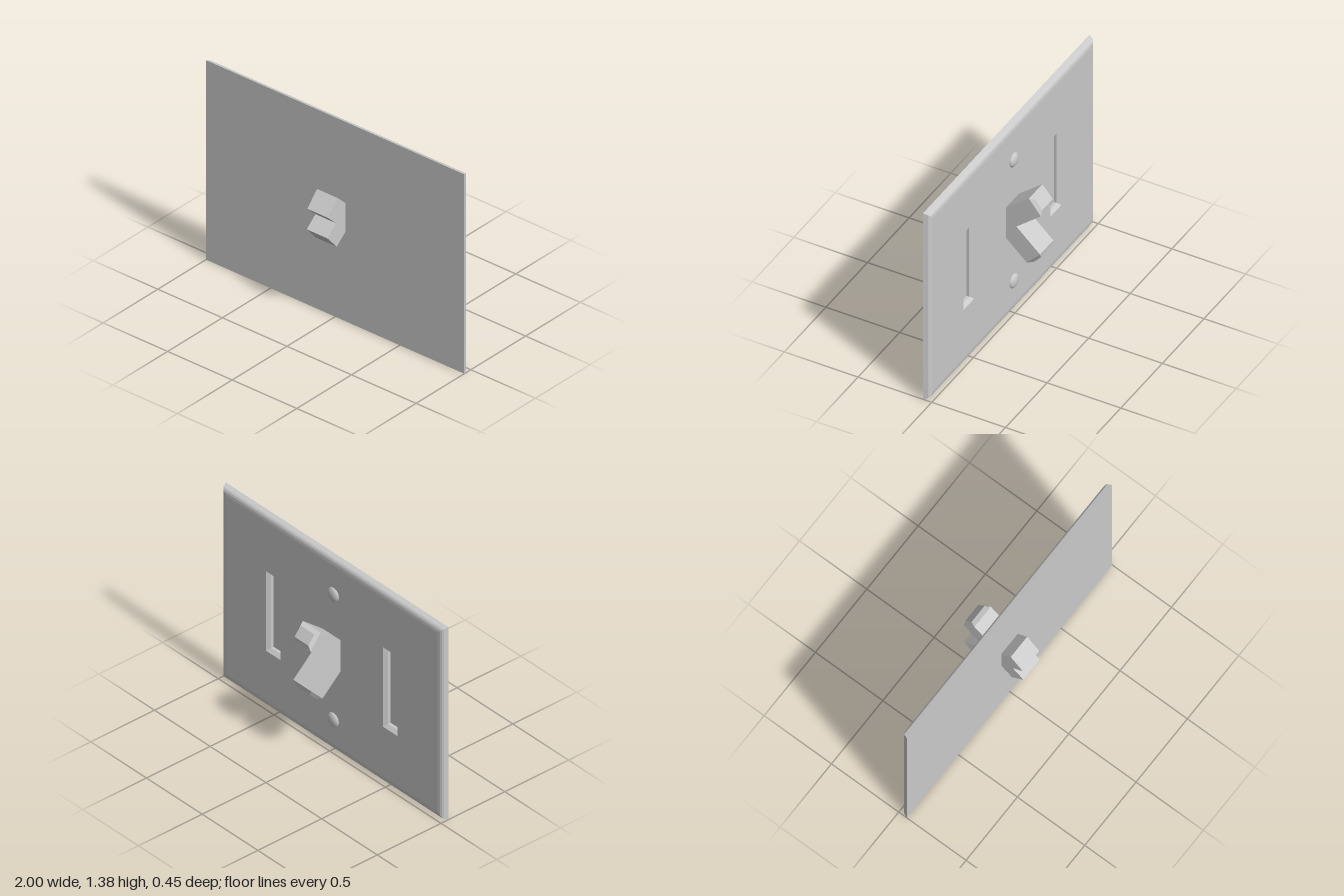
import * as THREE from 'three';

const material = new THREE.MeshStandardMaterial({ color: 0xcccccc });
const CY = 0.69;      // height of the plate's centre
const FRONT = 0.06;   // flat side of the plate
const BACK = 0.017;   // dressed side of the plate

function add(parent, geometry, name, x = 0, y = 0, z = 0) {
  const mesh = new THREE.Mesh(geometry, material);
  mesh.name = name;
  mesh.position.set(x, y, z);
  parent.add(mesh);
  return mesh;
}

// Walls through rectangular rings [halfWidth, halfHeight, z]; running
// towards -z they face outward, running towards +z they face inward.
function rectLoft(rings) {
  const corners = [[1, -1], [1, 1], [-1, 1], [-1, -1]];
  const positions = [];
  for (let i = 0; i < rings.length - 1; i++) {
    for (let k = 0; k < 4; k++) {
      const at = (r, c) => [rings[r][0] * corners[c % 4][0], rings[r][1] * corners[c % 4][1], rings[r][2]];
      const a = at(i, k), b = at(i, k + 1), c = at(i + 1, k), d = at(i + 1, k + 1);
      positions.push(...a, ...c, ...b, ...b, ...c, ...d);
    }
  }
  const geometry = new THREE.BufferGeometry();
  geometry.setAttribute('position', new THREE.Float32BufferAttribute(positions, 3));
  geometry.computeVertexNormals();
  return geometry;
}

function rectPath(path, x, hw, hh) {
  path.moveTo(x - hw, -hh);
  path.lineTo(x + hw, -hh);
  path.lineTo(x + hw, hh);
  path.lineTo(x - hw, hh);
  path.closePath();
  return path;
}

function createPlate() {
  const plate = new THREE.Group();
  plate.name = 'wallPlate';
  plate.position.y = CY;

  // Flat side and rounded rim
  add(plate, new THREE.PlaneGeometry(2, 1.38), 'plateFlatFace', 0, 0, FRONT);
  add(plate, rectLoft([
    [1, 0.69, FRONT], [0.99, 0.68, 0.032], [0.982, 0.672, 0.024],
    [0.97, 0.66, 0.019], [0.95, 0.64, BACK],
  ]), 'plateRim');

  // Dressed side with two slot openings
  const slotX = 0.525, hw = 0.065, hh = 0.285;
  const face = rectPath(new THREE.Shape(), 0, 0.95, 0.64);
  for (const s of [-1, 1]) face.holes.push(rectPath(new THREE.Path(), s * slotX, hw, hh));
  add(plate, new THREE.ShapeGeometry(face).rotateY(Math.PI), 'plateDressedFace', 0, 0, BACK);

  // Sloped slot walls and floors
  for (const s of [-1, 1]) {
    const slot = new THREE.Group();
    slot.name = s > 0 ? 'leftSlot' : 'rightSlot';
    slot.position.x = s * slotX;
    add(slot, rectLoft([[hw, hh, BACK], [0.043, 0.263, 0.038], [0.043, 0.263, 0.057]]), 'slotWalls');
    add(slot, new THREE.PlaneGeometry(0.086, 0.526).rotateY(Math.PI), 'slotFloor', 0, 0, 0.057);
    plate.add(slot);
  }
  return plate;
}

function createToggle() {
  const toggle = new THREE.Group();
  toggle.name = 'toggle';

  // Crossed-arm profile as [z, y]
  const profile = [
    [0.13, 0.885], [0.22, 0.79], [0.145, 0.718], [0.225, 0.65], [0.14, 0.553], [0.045, 0.632],
    [-0.125, 0.475], [-0.215, 0.567], [-0.055, 0.715], [-0.22, 0.852], [-0.14, 0.955], [0.045, 0.805],
  ];
  const shape = new THREE.Shape(profile.map(([z, y]) => new THREE.Vector2(-z, y)));
  const body = new THREE.ExtrudeGeometry(shape, { depth: 0.16, bevelEnabled: false });
  add(toggle, body.rotateY(Math.PI / 2), 'toggleArms', -0.08);

  // Chamfered tips of the two long arms
  for (const [name, z, y, half, tilt] of [
    ['upperTip', -0.18, 0.9035, 0.065, 0.66],
    ['lowerTip', -0.17, 0.521, 0.064, -0.774],
  ]) {
    const tip = new THREE.Group();
    tip.name = name;
    tip.position.set(0, y, z);
    tip.rotation.x = tilt;
    add(tip, rectLoft([[0.08, half, 0], [0.062, 0.038, -0.022]]), 'tipChamfer');
    add(tip, new THREE.PlaneGeometry(0.124, 0.076).rotateY(Math.PI), 'tipEnd', 0, 0, -0.022);
    toggle.add(tip);
  }
  return toggle;
}

export function createModel() {
  const model = new THREE.Group();
  model.name = 'switchPlate';
  model.add(createPlate(), createToggle());

  // Domed screw heads above and below the toggle
  for (const [name, y] of [['upperScrew', 1.123], ['lowerScrew', 0.225]]) {
    const dome = new THREE.SphereGeometry(0.05, 12, 4, 0, Math.PI * 2, 0, Math.PI / 2);
    dome.rotateX(-Math.PI / 2).scale(1, 1, 0.45);
    add(model, dome, name, -0.015, y, BACK + 0.001);
  }
  return model;
}
